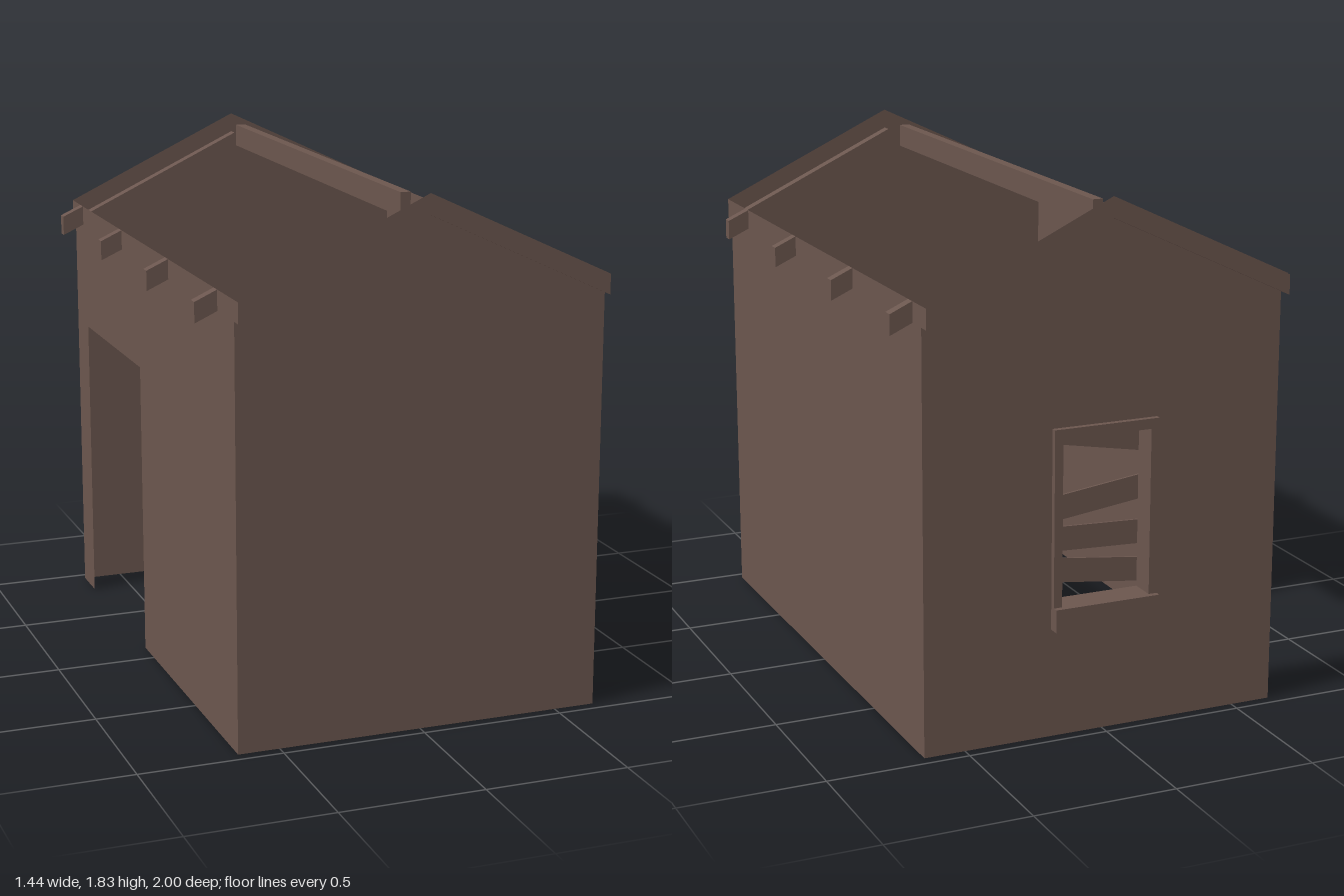
import * as THREE from 'three';

const W = 0.645, D = 0.96, OUT = 1.0;      // half width, half depth, gable overhang
const EAVE = 1.52, APEX = 1.825, T = 0.07; // roof line and its vertical thickness

function polygon(points) {
  return new THREE.Shape(points.map(([x, y]) => new THREE.Vector2(x, y)));
}

function rect(x0, y0, x1, y1) {
  return polygon([[x0, y0], [x1, y0], [x1, y1], [x0, y1]]);
}

export function createModel() {
  const model = new THREE.Group();
  model.name = 'shed';
  const wood = new THREE.MeshStandardMaterial({ color: 0x6b564e, side: THREE.DoubleSide });
  wood.name = 'brownWood';

  const add = (name, geometry, parent = model) => {
    const mesh = new THREE.Mesh(geometry, wood);
    mesh.name = name;
    parent.add(mesh);
    return mesh;
  };
  const box = (name, x0, x1, y0, y1, z0, z1, parent) => {
    const mesh = add(name, new THREE.BoxGeometry(x1 - x0, y1 - y0, z1 - z0), parent);
    mesh.position.set((x0 + x1) / 2, (y0 + y1) / 2, (z0 + z1) / 2);
    return mesh;
  };

  // Gable walls, thin sheets reaching up to the soffit
  const gable = () => polygon([[-W, 0], [W, 0], [W, EAVE - T], [0, APEX - T], [-W, EAVE - T]]);
  add('frontWall', new THREE.ShapeGeometry(gable())).position.z = D;
  const backShape = gable();
  backShape.holes.push(rect(-0.165, 0.45, 0.165, 1.04));
  const backWall = add('backWall', new THREE.ShapeGeometry(backShape));
  backWall.rotation.y = Math.PI;
  backWall.position.z = -D;

  // Side walls; shape x runs along -z after turning
  const leftWall = add('leftWall', new THREE.ShapeGeometry(rect(-D, 0, D, EAVE)));
  leftWall.rotation.y = Math.PI / 2;
  leftWall.position.x = W;
  const doorWall = add('doorWall', new THREE.ShapeGeometry(polygon([
    [-D, 0], [0.11, 0], [0.11, 1.06], [0.815, 1.06], [0.815, 0], [D, 0], [D, EAVE], [-D, EAVE],
  ])));
  doorWall.rotation.y = Math.PI / 2;
  doorWall.position.x = -W;

  // Gable overhangs: fascia, soffits and end caps, open on top
  for (const s of [1, -1]) {
    const overhang = new THREE.Group();
    overhang.name = s > 0 ? 'frontOverhang' : 'backOverhang';
    overhang.rotation.y = s > 0 ? 0 : Math.PI;
    model.add(overhang);
    add('fascia', new THREE.ShapeGeometry(polygon([
      [-W, EAVE - T], [0, APEX - T], [W, EAVE - T], [W, EAVE], [0, APEX], [-W, EAVE],
    ])), overhang).position.z = OUT;
    for (const side of [1, -1]) {
      const slope = Math.atan2(APEX - EAVE, W);
      const soffit = add('soffit', new THREE.PlaneGeometry(Math.hypot(W, APEX - EAVE), OUT - D)
        .rotateX(Math.PI / 2), overhang);
      soffit.rotation.z = -side * slope;
      soffit.position.set(side * W / 2, (EAVE + APEX) / 2 - T, (D + OUT) / 2);
      const cap = add('endCap', new THREE.PlaneGeometry(OUT - D, T), overhang);
      cap.rotation.y = side * Math.PI / 2;
      cap.position.set(side * W, EAVE - T / 2, (D + OUT) / 2);
    }
  }

  // Ridge beam
  box('ridgeBeam', -0.018, 0.018, 1.716, 1.796, -0.885, 0.792);

  // Rafter tails along both eaves
  for (const side of [1, -1]) {
    for (const z of [0.773, 0.238, -0.335, -0.869]) {
      const tail = polygon([
        [side * W, EAVE - T], [side * 0.722, 1.415], [side * 0.722, 1.485], [side * W, EAVE],
      ]);
      add('rafterTail', new THREE.ExtrudeGeometry(tail, { depth: 0.036, bevelEnabled: false }))
        .position.z = z - 0.018;
    }
  }

  // Back window: frame, sill and boards nailed across the inside
  const windowGroup = new THREE.Group();
  windowGroup.name = 'window';
  model.add(windowGroup);
  const frame = polygon([
    [-0.19, 0.46], [-0.16, 0.46], [-0.16, 1.035], [0.16, 1.035],
    [0.16, 0.46], [0.19, 0.46], [0.19, 1.07], [-0.19, 1.07],
  ]);
  add('windowFrame', new THREE.ExtrudeGeometry(frame, { depth: 0.09, bevelEnabled: false }), windowGroup)
    .position.z = -0.98;
  box('windowSill', -0.19, 0.19, 0.38, 0.46, -1.0, -0.89, windowGroup);
  for (const [y, tilt] of [[1.01, 0.18], [0.79, -0.13], [0.66, 0.04], [0.54, 0.12]]) {
    const board = box('windowBoard', -0.228, 0.228, y - 0.042, y + 0.042, -0.89, -0.882, windowGroup);
    board.rotation.z = tilt;
  }
  return model;
}
